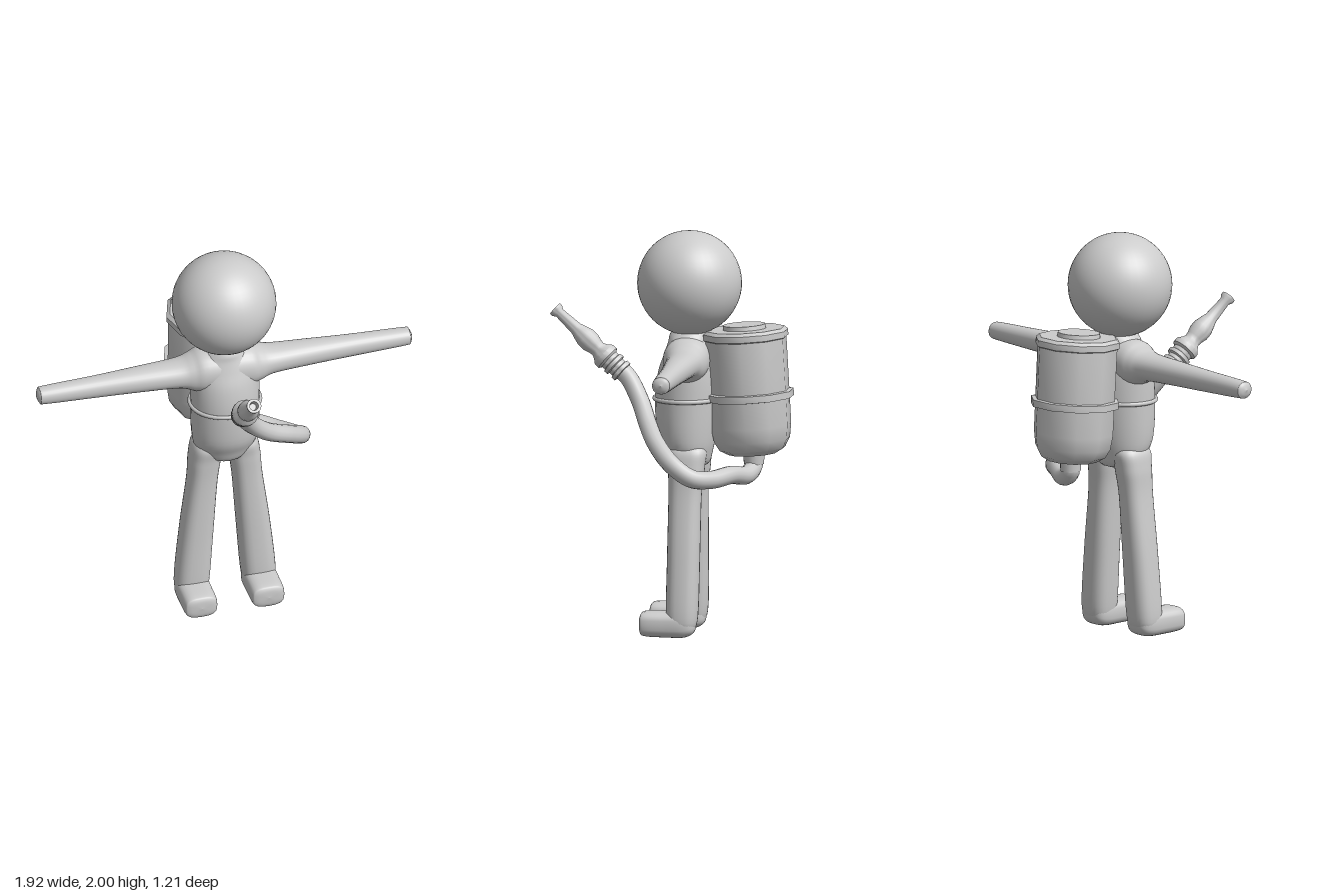
import * as THREE from 'three';
import { toCreasedNormals } from 'three/addons/utils/BufferGeometryUtils.js';

const material = new THREE.MeshStandardMaterial({ color: 0xcccccc });
const openMaterial = new THREE.MeshStandardMaterial({ color: 0xcccccc, side: THREE.DoubleSide });

function add(parent, name, geometry, mat = material) {
  const mesh = new THREE.Mesh(geometry, mat);
  mesh.name = name;
  parent.add(mesh);
  return mesh;
}

// Smooth skin over rounded cross-sections. Each station is [x, y, z, radiusU, radiusV];
// U and V are the two axes that follow the given axis, and power > 2 squares the section.
function loft(axis, stations, power = 2, rows = 40, sides = 28) {
  const centres = new THREE.CatmullRomCurve3(stations.map(s => new THREE.Vector3(s[0], s[1], s[2])), false, 'catmullrom');
  const radii = new THREE.CatmullRomCurve3(stations.map(s => new THREE.Vector3(s[3], s[4], 0)), false, 'catmullrom');
  const u = (axis + 1) % 3, v = (axis + 2) % 3;
  const round = t => Math.sign(t) * Math.abs(t) ** (2 / power);
  const position = [], index = [];
  for (let i = 0; i <= rows; i++) {
    const c = centres.getPoint(i / rows), r = radii.getPoint(i / rows);
    for (let j = 0; j < sides; j++) {
      const a = (j / sides) * Math.PI * 2, p = c.toArray();
      p[u] += Math.max(r.x, 0.001) * round(Math.cos(a));
      p[v] += Math.max(r.y, 0.001) * round(Math.sin(a));
      position.push(...p);
      if (i < rows) {
        const k = (j + 1) % sides, q = i * sides;
        index.push(q + j, q + k, q + sides + k, q + j, q + sides + k, q + sides + j);
      }
    }
  }
  const geometry = new THREE.BufferGeometry();
  geometry.setAttribute('position', new THREE.Float32BufferAttribute(position, 3));
  geometry.setIndex(index);
  geometry.computeVertexNormals();
  return geometry;
}

function lathe(profile, sides, phase = 0, crease = 0.7) {
  const points = profile.map(([r, y]) => new THREE.Vector2(r, y));
  return toCreasedNormals(new THREE.LatheGeometry(points, sides, phase), crease);
}

function addBody(model) {
  const head = add(model, 'head', new THREE.SphereGeometry(0.258, 40, 28));
  head.position.set(0, 1.743, -0.09);

  add(model, 'torso', loft(1, [
    [0, 0.825, -0.09, 0, 0],
    [0, 0.845, -0.09, 0.09, 0.1],
    [0, 0.91, -0.085, 0.12, 0.15],
    [0, 1.0, -0.075, 0.145, 0.168],
    [0, 1.17, -0.075, 0.155, 0.172],
    [0, 1.3, -0.08, 0.145, 0.172],
    [0, 1.39, -0.085, 0.12, 0.165],
    [0, 1.45, -0.085, 0.1, 0.12],
    [0, 1.5, -0.085, 0.085, 0.075],
    [0, 1.6, -0.085, 0, 0],
  ]));

  // Both arms run through the shoulders as one tapering form
  const arm = [
    [0.1, 1.37, -0.088, 0.11, 0.115],
    [0.17, 1.362, -0.09, 0.092, 0.1],
    [0.24, 1.364, -0.09, 0.069, 0.085],
    [0.42, 1.364, -0.09, 0.061, 0.07],
    [0.65, 1.362, -0.09, 0.053, 0.055],
    [0.91, 1.362, -0.09, 0.044, 0.046],
    [0.945, 1.362, -0.09, 0.036, 0.038],
    [0.96, 1.362, -0.09, 0, 0],
  ];
  const mirrored = arm.map(([x, ...rest]) => [-x, ...rest]).reverse();
  add(model, 'arms', loft(0, [...mirrored, ...arm], 2.2, 75));

  for (const side of [-1, 1]) {
    const name = side > 0 ? 'left' : 'right';
    add(model, name + 'Leg', loft(1, [
      [side * 0.168, 0.03, -0.075, 0.05, 0.06],
      [side * 0.17, 0.1, -0.078, 0.077, 0.085],
      [side * 0.145, 0.4, -0.082, 0.08, 0.083],
      [side * 0.115, 0.7, -0.085, 0.081, 0.074],
      [side * 0.1, 0.84, -0.09, 0.09, 0.078],
      [side * 0.085, 0.93, -0.09, 0.09, 0.07],
      [side * 0.08, 0.97, -0.09, 0, 0],
    ], 2.6));
    add(model, name + 'Foot', loft(2, [
      [side * 0.17, 0.075, -0.15, 0, 0],
      [side * 0.17, 0.073, -0.135, 0.06, 0.045],
      [side * 0.17, 0.069, -0.09, 0.083, 0.063],
      [side * 0.171, 0.069, 0, 0.085, 0.064],
      [side * 0.171, 0.07, 0.1, 0.083, 0.061],
      [side * 0.171, 0.07, 0.125, 0.066, 0.046],
      [side * 0.171, 0.07, 0.132, 0, 0],
    ], 3));
  }
}

function addTank(model) {
  const tank = new THREE.Group();
  tank.name = 'backTank';
  tank.position.set(-0.005, 1.2, -0.386);
  tank.rotation.x = 0.06;
  model.add(tank);
  const sides = 10, phase = Math.PI / sides;

  // Shell with rounded base and stepped lid
  add(tank, 'tankShell', lathe([
    [0, -0.3], [0.12, -0.3], [0.165, -0.275], [0.19, -0.23], [0.2, -0.16],
    [0.202, 0.27], [0.212, 0.275], [0.212, 0.305], [0.195, 0.32], [0, 0.32],
  ], sides, phase));
  add(tank, 'tankBand', lathe([
    [0.195, -0.03], [0.222, -0.026], [0.222, 0.008], [0.195, 0.012],
  ], sides, phase));
  const cap = add(tank, 'fillerCap', toCreasedNormals(new THREE.CylinderGeometry(0.104, 0.108, 0.022, 20), 0.7));
  cap.position.set(0, 0.33, 0.005);

  // Strap around the chest
  const strap = add(model, 'chestStrap', new THREE.TorusGeometry(1, 0.055, 8, 48));
  strap.rotation.x = Math.PI / 2;
  strap.scale.set(0.176, 0.159, 0.2);
  strap.position.set(0, 1.17, -0.075);
}

function addHose(model) {
  const path = [
    [0, 0.93, -0.41], [0, 0.845, -0.41], [0.08, 0.805, -0.385], [0.2, 0.82, -0.325],
    [0.32, 0.81, -0.24], [0.39, 0.825, -0.155], [0.385, 0.89, -0.06], [0.29, 0.975, 0.03],
    [0.17, 1.055, 0.09], [0.07, 1.16, 0.145], [0.01, 1.27, 0.215], [-0.003, 1.31, 0.265],
  ].map(p => new THREE.Vector3(...p));
  add(model, 'hose', new THREE.TubeGeometry(new THREE.CatmullRomCurve3(path), 80, 0.045, 14), openMaterial);
  const collar = add(model, 'hoseOutlet', new THREE.CylinderGeometry(0.055, 0.05, 0.08, 16));
  collar.position.set(0, 0.89, -0.41);

  // Ribbed grip, bulb, tapering barrel and hollow flared tip
  const start = new THREE.Vector3(0.002, 1.275, 0.225), end = new THREE.Vector3(-0.033, 1.592, 0.582);
  const nozzle = add(model, 'nozzle', lathe([
    [0.04, 0.02], [0.057, 0.025], [0.057, 0.045], [0.047, 0.05], [0.047, 0.068],
    [0.06, 0.073], [0.06, 0.092], [0.05, 0.097], [0.052, 0.115], [0.066, 0.125],
    [0.066, 0.15], [0.05, 0.17], [0.04, 0.19], [0.043, 0.21], [0.052, 0.24],
    [0.052, 0.275], [0.042, 0.31], [0.032, 0.34], [0.025, 0.45], [0.036, 0.468],
    [0.036, 0.482], [0.022, 0.482], [0.017, 0.43], [0, 0.43],
  ], 18), openMaterial);
  nozzle.position.copy(start);
  nozzle.quaternion.setFromUnitVectors(new THREE.Vector3(0, 1, 0), end.sub(start).normalize());
}

export function createModel() {
  const model = new THREE.Group();
  model.name = 'figureWithSprayTank';
  addBody(model);
  addTank(model);
  addHose(model);
  return model;
}
